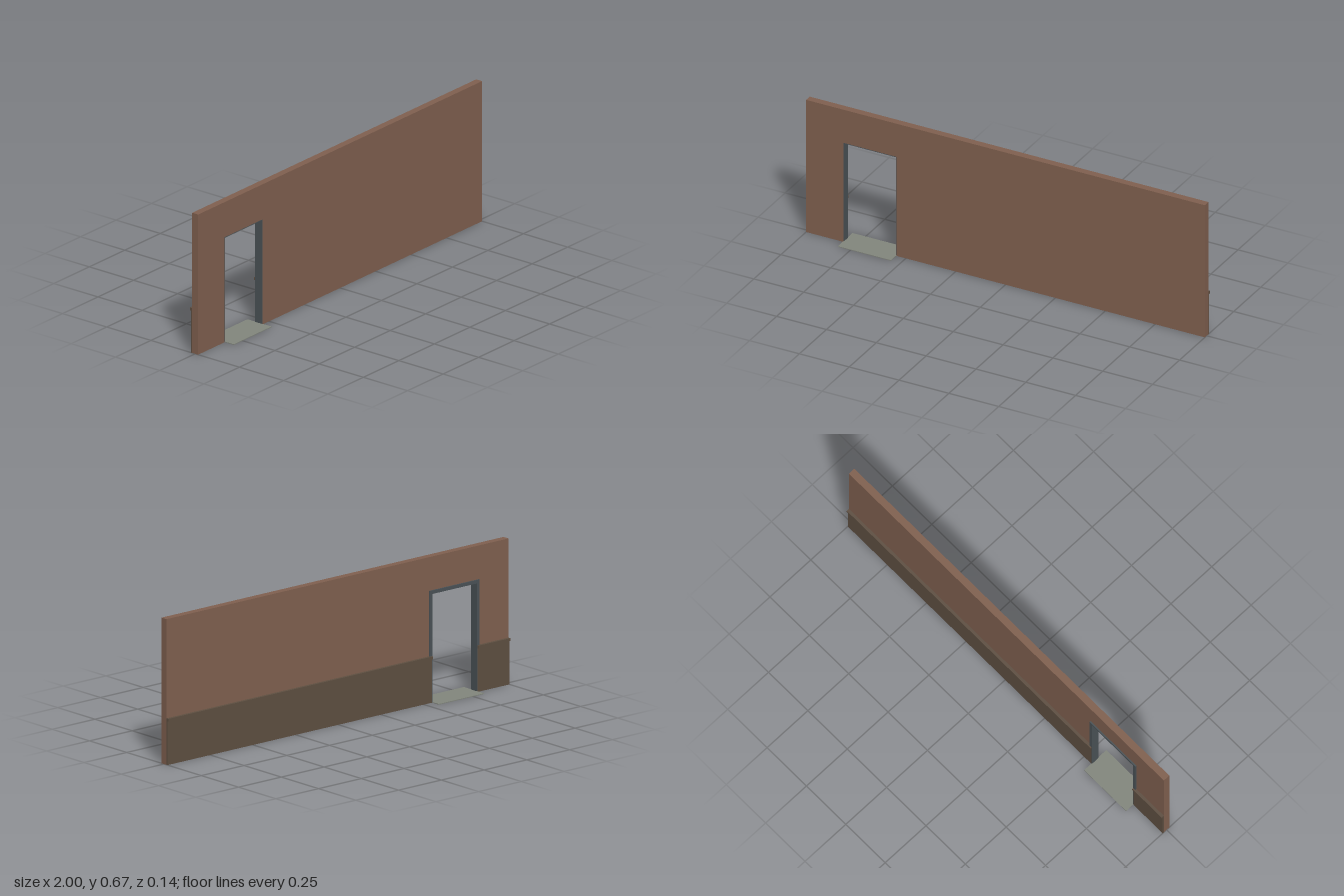
import * as THREE from 'three';

const mat = (color) => new THREE.MeshStandardMaterial({ color });

export function createModel() {
  const group = new THREE.Group();
  const brick = mat(0x80604f), panel = mat(0x5e4f41), metal = mat(0x4a5256), stone = mat(0x82867d);

  // Box given by its minimum and maximum on each axis
  function box(name, material, [x0, x1], [y0, y1], [z0, z1]) {
    const mesh = new THREE.Mesh(new THREE.BoxGeometry(x1 - x0, y1 - y0, z1 - z0), material);
    mesh.position.set((x0 + x1) / 2, (y0 + y1) / 2, (z0 + z1) / 2);
    mesh.name = name;
    group.add(mesh);
  }

  const doorL = -0.813, doorR = -0.547, doorTop = 0.5, height = 0.667;
  const half = 0.0167, lining = 0.003, trim = 0.013;
  const wallZ = [-half, half];

  // Wall sections around the doorway
  box('wallShort', brick, [-1, doorL], [0, height], wallZ);
  box('wallLong', brick, [doorR, 1], [0, height], wallZ);
  box('wallOverDoor', brick, [doorL, doorR], [doorTop, height], wallZ);

  // Wainscot and chair rail on the back, on both sides of the doorway
  for (const [side, span] of [['Short', [-1, doorL]], ['Long', [doorR, 1]]]) {
    box('wainscot' + side, panel, span, [0, 0.2], [-0.0235, -half]);
    box('chairRail' + side, panel, span, [0.2, 0.213], [-0.03, -half]);
  }

  // Door lining inside the opening
  const liningZ = [-0.0225, half - 0.0003];
  box('jambShort', metal, [doorL, doorL + lining], [0, doorTop], liningZ);
  box('jambLong', metal, [doorR - lining, doorR], [0, doorTop], liningZ);
  box('headLining', metal, [doorL, doorR], [doorTop - lining, doorTop], liningZ);

  // Door trim on the back
  const trimZ = [-0.0228, -half];
  box('trimShort', metal, [doorL - trim, doorL], [0, doorTop], trimZ);
  box('trimLong', metal, [doorR, doorR + trim], [0, doorTop], trimZ);
  box('trimHead', metal, [doorL - trim, doorR + trim], [doorTop, doorTop + trim], trimZ);

  // Threshold slab
  box('threshold', stone, [doorL, doorR], [0, 0.0035], [-0.068, 0.068]);

  return group;
}
